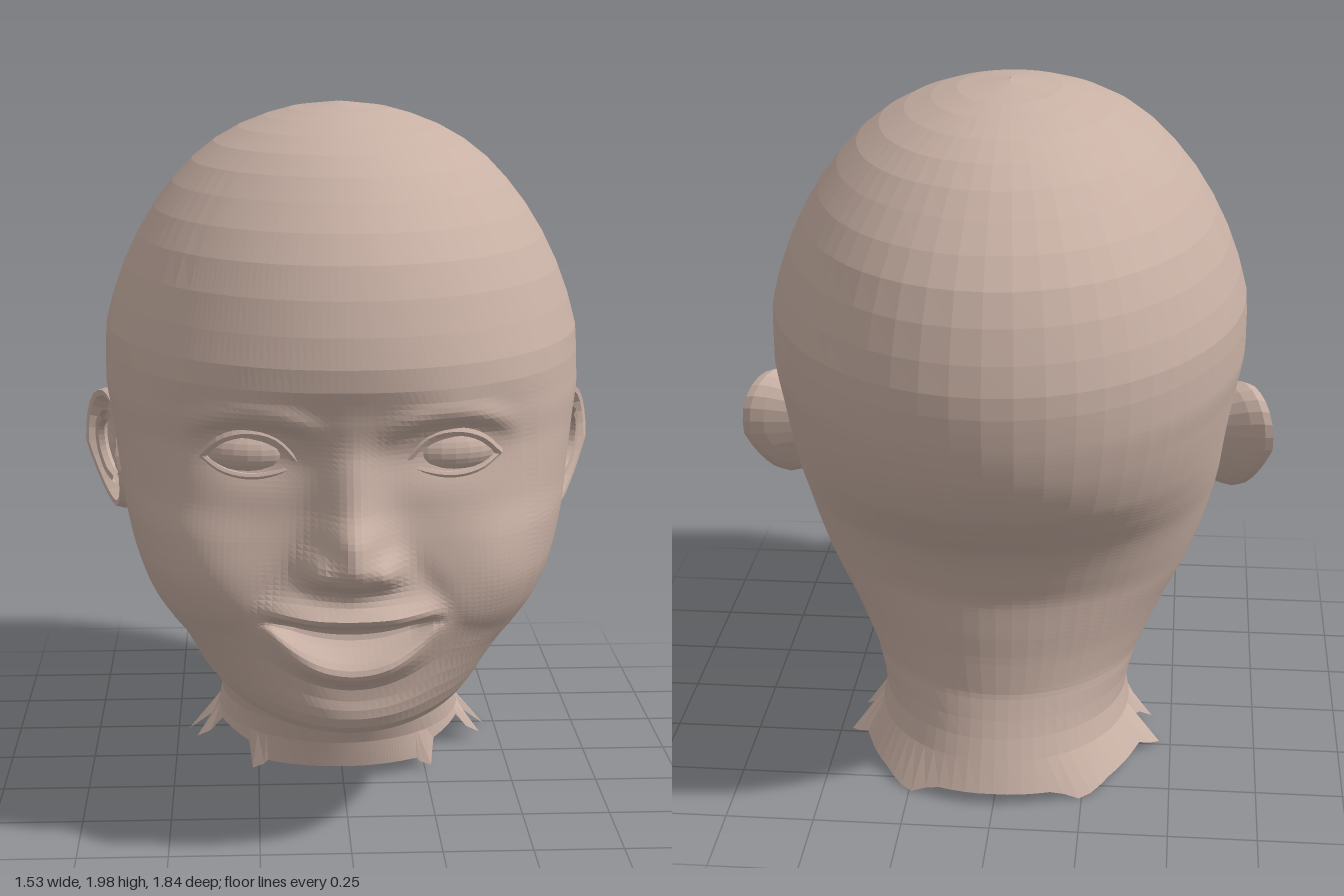
import * as THREE from 'three';

// Head sections: y, half width, front z, back z, centre z, squareness of the front
const SECTIONS = [
  [2, .001, -.04, -.06, -.05, 2], [1.975, .17, .17, -.31, -.05, 2], [1.89, .365, .455, -.565, -.04, 2],
  [1.78, .485, .61, -.71, -.03, 2], [1.635, .585, .745, -.84, -.02, 2], [1.455, .66, .82, -.905, 0, 2],
  [1.35, .682, .838, -.92, 0, 2.1], [1.24, .682, .80, -.91, 0, 2.3], [1.13, .665, .765, -.885, 0, 2.6],
  [1, .645, .76, -.82, 0, 2.9], [.9, .63, .77, -.73, 0, 3.1], [.8, .608, .785, -.635, 0, 3.1],
  [.7, .578, .80, -.58, -.01, 2.9], [.6, .54, .79, -.545, -.02, 2.6], [.5, .488, .79, -.54, -.03, 2.3],
  [.42, .447, .785, -.535, -.05, 2.1], [.365, .42, .74, -.535, -.07, 2], [.34, .405, .65, -.535, -.09, 2],
  [.325, .395, .45, -.535, -.11, 2], [.3, .385, .34, -.54, -.13, 2], [.2, .36, .26, -.57, -.16, 2],
  [.1, .385, .22, -.61, -.17, 2], [0, .495, .21, -.65, -.17, 2],
];
// Nose and the ridge below it: y, height, width
const NOSE = [[1.3, 0, .09], [1.2, .02, .08], [1.1, .055, .06], [1, .09, .06], [.92, .142, .062],
  [.87, .147, .065], [.82, .115, .065], [.785, .06, .07], [.74, .035, .1], [.69, 0, .12]];
// Smile: y, upward bend of the rows around the mouth
const SMILE = [[.85, 0], [.712, .2], [.645, .9], [.565, 1.8], [.5, 1.3], [.42, .3], [.36, 0]];
// Torn neck edge: angle from the front, height
const HEM = [[3.14, .055], [2.75, .05], [2.6, .02], [2.3, .045], [1.9, .055], [1.7, .02], [1.6, .09],
  [1.38, .03], [1.3, .12], [.78, .1], [.68, .005], [.6, .06], [0, .06]];

// Smooth lookup, without overshoot, in a table sorted by falling first value
function lookup(table, at) {
  let i = 0;
  while (i < table.length - 2 && at < table[i + 1][0]) i++;
  const a = table[i], b = table[i + 1], h = b[0] - a[0];
  const t = THREE.MathUtils.clamp((at - a[0]) / h, 0, 1);
  const slope = (j, k) => (table[j + 1][k] - table[j][k]) / (table[j + 1][0] - table[j][0]);
  const tangent = (j, k) => {
    if (j === 0) return slope(0, k);
    if (j === table.length - 1) return slope(j - 1, k);
    const p = slope(j - 1, k), q = slope(j, k);
    return p * q > 0 ? 2 * p * q / (p + q) : 0;
  };
  return a.map((v, k) => v + (b[k] - v) * t * t * (3 - 2 * t)
    + h * t * (1 - t) * ((1 - t) * tangent(i, k) - t * tangent(i + 1, k)));
}
const bell = (d, s) => Math.exp(-0.5 * (d / s) ** 2);
const step = THREE.MathUtils.smoothstep;

// Forward relief of the face; row is the height before the smile bends it
function relief(x, y, row) {
  const ax = Math.abs(x);
  const [, h, s] = lookup(NOSE, y);
  let dz = h * bell(x, s);
  dz += .045 * bell(ax - .09, .028) * bell(y - .84, .03);              // nostril wings
  dz -= .035 * bell(ax - .25, .1) * bell(y - 1.135, .05);              // eye sockets
  const browY = 1.25 - 1.3 * (ax - .26) ** 2;
  dz += .02 * bell(y - browY, .025) * step(ax, .04, .18) * (1 - step(ax, .34, .48));
  dz -= .01 * bell(y - browY + .045, .015) * step(ax, .1, .2) * (1 - step(ax, .32, .44));
  dz += .035 * bell(ax - .4, .1) * bell(y - .83, .1);                  // cheeks
  dz -= .01 * bell(ax - .2 - (.8 - y) * .6, .03) * bell(y - .77, .07); // smile folds
  const m = 1 - step(ax, .08, .27);
  dz += .058 * m * bell(row - .712, .019);                             // upper lip
  dz += .055 * m * bell(row - .562, .03);                              // lower lip
  dz -= .045 * (1 - step(ax, .15, .25)) * bell(row - .645, .027);      // open mouth
  dz -= .015 * bell(x, .16) * bell(row - .495, .022);                  // chin crease
  return dz;
}

// Distance from the section's centre to its edge, as x and z
function outline(phi, y) {
  const [, w, front, back, zc, nf] = lookup(SECTIONS, y);
  const c = Math.cos(phi), s = Math.sin(phi);
  const n = c > 0 ? nf : 2, d = c > 0 ? front - zc : zc - back;
  const r = (Math.abs(s / w) ** n + Math.abs(c / d) ** n) ** (-1 / n);
  return [r * s, zc + r * c];
}

function headPoint(phi, row) {
  const c = Math.cos(phi);
  let y = row;
  let [x, z] = outline(phi, y);
  if (c > 0 && y < 1.36 && y > .36) {
    const ax = Math.abs(x);
    y += lookup(SMILE, row)[1] * Math.min(ax, .22) ** 2 * (1 - step(ax, .24, .5));
    [x, z] = outline(phi, y);
    z += relief(x, y, row) * step(c, .3, .7);
  }
  // jawline rises towards the ears
  y += .22 * x * x * step(z, 0, .4) * step(row, .25, .34) * (1 - step(row, .4, .7));
  return [x, y, z];
}

// Skin a list of equal closed rings
function skin(rings, flip) {
  const n = rings[0].length, index = [];
  for (let i = 0; i < rings.length - 1; i++) for (let j = 0; j < n; j++) {
    const k = (j + 1) % n;
    const a = i * n + j, b = a + n, c = (i + 1) * n + k, d = i * n + k;
    if (flip) index.push(a, c, b, a, d, c); else index.push(a, b, c, a, c, d);
  }
  const g = new THREE.BufferGeometry();
  g.setAttribute('position', new THREE.Float32BufferAttribute(rings.flat(2), 3));
  g.setIndex(index);
  const flat = g.toNonIndexed();
  flat.computeVertexNormals();
  return flat;
}

function headGeometry() {
  // columns are close together on the face and wide apart elsewhere
  const half = [];
  for (let i = 1; i <= 26; i++) half.push(i * .024);
  for (let i = 1; i <= 28; i++) half.push(.624 + (Math.PI - .624) * i / 28);
  const phis = [...half.slice(0, -1).reverse().map(p => -p), 0, ...half];
  const ys = [2, 1.993, 1.98, 1.96, 1.93, 1.89, 1.84, 1.78, 1.71, 1.635, 1.55, 1.46, 1.38, 1.32];
  for (let y = 1.285; y > .49; y -= .0145) ys.push(y);
  ys.push(.47, .445, .42, .39, .365, .35, .34, .325, .31, .3, .25, .2, .14);
  const rings = ys.map(y => phis.map(p => headPoint(p, y)));
  rings.push(phis.map(p => headPoint(p, lookup(HEM, Math.abs(p))[1])));
  return skin(rings, false);
}

// Ear bowl made of shrinking rings: scale, depth outwards
function earGeometry(side) {
  const steps = [[.7, -.12], [.95, -.03], [1, .006], [.96, .03], [.87, .026], [.79, -.015], [.5, -.03], [.04, -.045]];
  const rings = steps.map(([k, depth]) => Array.from({ length: 24 }, (_, i) => {
    const a = i / 24 * Math.PI * 2;
    const dy = .175 * k * Math.sin(a);
    const z = -.088 - .115 * k * Math.cos(a) * (1 + .25 * Math.sin(a)) - .24 * dy;
    const x = .645 - .46 * z + Math.min(dy, 0) * .15 - Math.max(dy, 0) * .15 + depth;
    return [side * x, .968 + dy, z];
  }));
  return skin(rings, side > 0);
}

function tube(points, side, radius) {
  const curve = new THREE.CatmullRomCurve3(points.map(([x, y, z]) => new THREE.Vector3(side * x, y, z)));
  return new THREE.TubeGeometry(curve, 14, radius, 6);
}

export function createModel() {
  const model = new THREE.Group();
  model.name = 'humanHead';
  const skinTone = new THREE.MeshStandardMaterial({ color: 0xc8b0a4, flatShading: true, side: THREE.DoubleSide });
  skinTone.name = 'skin';
  const add = (name, geometry) => {
    const mesh = new THREE.Mesh(geometry, skinTone);
    mesh.name = name;
    model.add(mesh);
    return mesh;
  };

  add('headAndNeck', headGeometry());

  for (const side of [1, -1]) {
    const label = side > 0 ? 'left' : 'right';
    // eyes and lids
    const eye = add(label + 'Eye', new THREE.SphereGeometry(1, 24, 16));
    eye.scale.set(.145, .075, .1);
    eye.position.set(side * .26, 1.135, .635);
    eye.rotation.y = side * .14;
    add(label + 'UpperLid', tube([[.135, 1.11, .73], [.2, 1.178, .73], [.27, 1.194, .722],
      [.34, 1.175, .70], [.395, 1.125, .668]], side, .013));
    add(label + 'LowerLid', tube([[.135, 1.11, .73], [.2, 1.087, .728], [.27, 1.077, .72],
      [.34, 1.09, .70], [.395, 1.125, .668]], side, .009));
    // ears with inner fold and tragus
    add(label + 'Ear', earGeometry(side));
    add(label + 'EarFold', tube([[.70, 1.07, -.09], [.715, 1.03, -.14], [.712, .96, -.15],
      [.69, .90, -.115], [.665, .88, -.065]], side, .018));
    const tragus = add(label + 'Tragus', new THREE.SphereGeometry(1, 10, 8));
    tragus.scale.set(.025, .045, .028);
    tragus.position.set(side * .645, .95, -.01);
  }
  return model;
}
